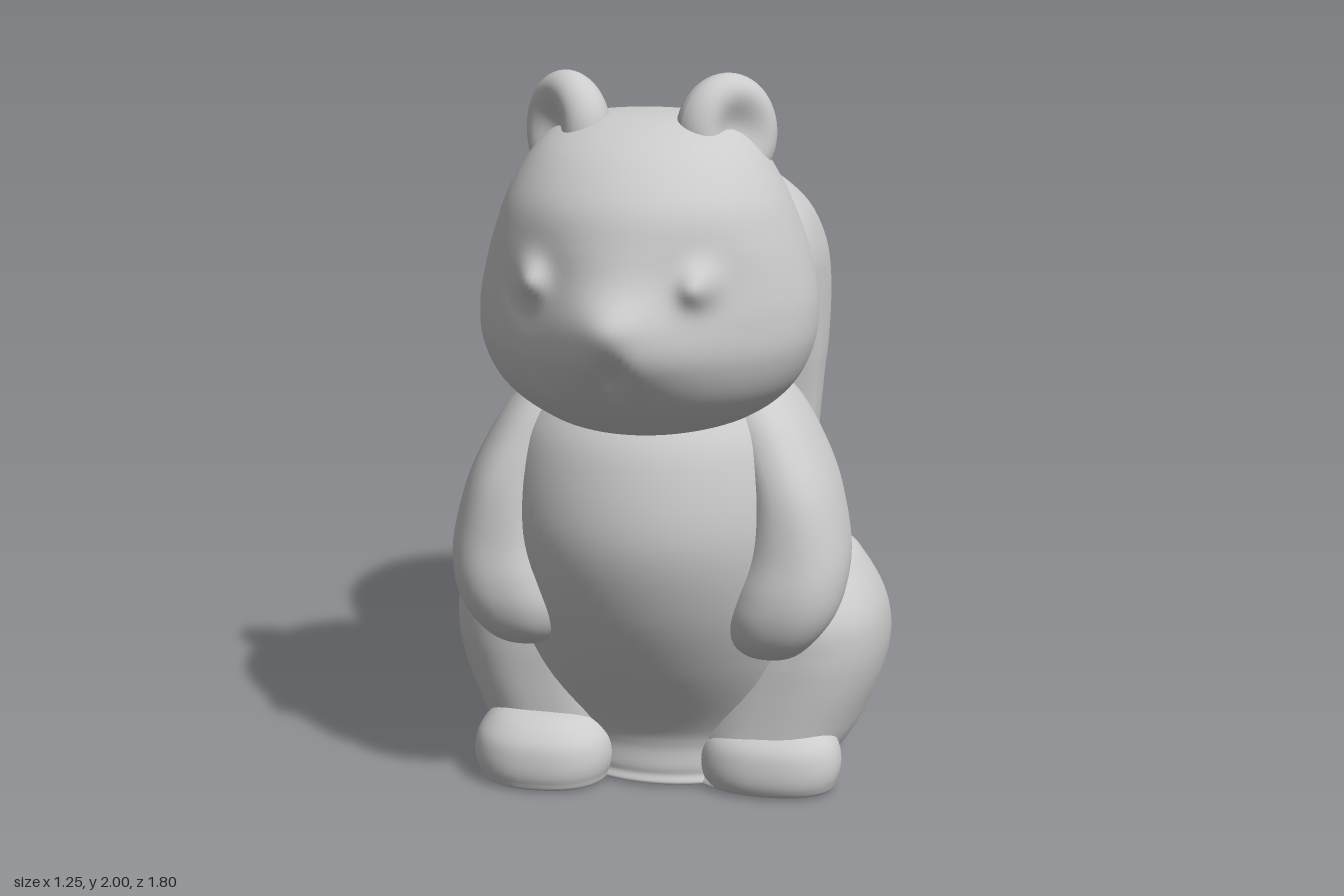
import * as THREE from 'three';

const material = new THREE.MeshStandardMaterial({ color: 0xcccccc });

function add(parent, name, geometry) {
  const mesh = new THREE.Mesh(geometry, material);
  mesh.name = name;
  parent.add(mesh);
  return mesh;
}

// Catmull-Rom interpolation of one ring column
function spline(rings, t, k) {
  const n = rings.length - 1;
  const i = Math.min(Math.floor(t), n - 1), f = t - i;
  const at = j => rings[Math.max(0, Math.min(n, j))][k];
  const [a, b, c, d] = [at(i - 1), at(i), at(i + 1), at(i + 2)];
  return b + 0.5 * f * (c - a + f * (2 * a - 5 * b + 4 * c - d + f * (3 * (b - c) + d - a)));
}

// Smooth closed skin over rings of [y, xMin, xMax, zBack, zFront];
// front and back set how square each half of the rings is (2 = ellipse)
function loft(rings, { rule, front = 2, back = 2, seg = 72, steps = 6 } = {}) {
  const pos = [], idx = [];
  const rows = (rings.length - 1) * steps;
  const yTop = rings[rings.length - 1][0];
  const p = new THREE.Vector3();
  for (let r = 0; r <= rows; r++) {
    const [y, x0, x1, z0, z1] = [0, 1, 2, 3, 4].map(k => spline(rings, r / steps, k));
    const rx = Math.max(0.0005, (x1 - x0) / 2), rz = Math.max(0.0005, (z1 - z0) / 2);
    for (let s = 0; s < seg; s++) {
      const a = (s / seg) * Math.PI * 2, c = Math.cos(a), d = Math.sin(a);
      const e = 2 / (d > 0 ? front : back);
      p.set((x0 + x1) / 2 + rx * Math.sign(c) * Math.abs(c) ** e,
        Math.min(yTop, Math.max(rings[0][0], y)),
        (z0 + z1) / 2 + rz * Math.sign(d) * Math.abs(d) ** e);
      if (rule) rule(p, a);
      pos.push(p.x, p.y, p.z);
      if (r < rows) {
        const i = r * seg + s, j = r * seg + (s + 1) % seg;
        idx.push(i, i + seg, j, j, i + seg, j + seg);
      }
    }
  }
  const g = new THREE.BufferGeometry();
  g.setAttribute('position', new THREE.Float32BufferAttribute(pos, 3));
  g.setIndex(idx);
  g.computeVertexNormals();
  return g;
}

const mirror = (rings, side) =>
  side > 0 ? rings : rings.map(([y, a, b, c, d]) => [y, -b, -a, c, d]);

const bump = (u, v, su, sv) => Math.exp(-0.5 * ((u / su) ** 2 + (v / sv) ** 2));

// Domed hollow in the underside, shared by every part standing there
function hollow(p) {
  const d = (p.x / 0.25) ** 2 + ((p.z + 0.1) / 0.25) ** 2;
  if (d < 1) p.y = Math.max(p.y, 0.22 * Math.sqrt(1 - d));
}

// Snout, mouth crease and eyes raised from the front of the skull
function face(p) {
  if (p.z < 0.45) return;
  p.z += 0.1 * bump(p.x, p.y - 1.37, 0.12, 0.1)
    - 0.03 * bump(p.x, p.y - 1.29, 0.025, 0.04)
    + 0.02 * bump(p.x, p.y - 1.425, 0.05, 0.035);
  for (const x of [-0.23, 0.2]) {
    p.z += 0.06 * bump(p.x - x, p.y - 1.51, 0.032, 0.035)
      - 0.02 * bump(p.x - x, p.y - 1.51, 0.08, 0.08);
  }
}

// Soft fur furrows and a small dimple on top of the tail
function fur(p, a) {
  const fade = Math.sin(Math.PI * Math.min(1, Math.max(0, (p.y - 0.45) / 1.15)));
  const k = 1 + 0.025 * fade * Math.sin(7 * a + 3 * p.y);
  p.x = -0.05 + (p.x + 0.05) * k;
  p.z = -0.4 + (p.z + 0.4) * (p.z < -0.7 ? 1 : k);
  if (p.y > 1.4) p.y -= 0.06 * bump(p.x + 0.03, p.z + 0.35, 0.027, 0.027);
  hollow(p);
}

// Thick round ear with a shallow hollow in its front
function earGeometry() {
  const g = new THREE.SphereGeometry(1, 40, 32);
  const p = g.attributes.position;
  for (let i = 0; i < p.count; i++) {
    const z = p.getZ(i);
    if (z > 0) p.setZ(i, z - 0.7 * z * bump(p.getX(i), p.getY(i) - 0.1, 0.4, 0.4));
  }
  g.scale(0.145, 0.155, 0.1);
  g.computeVertexNormals();
  return g;
}

export function createModel() {
  const model = new THREE.Group();
  model.name = 'squirrel';

  // Body with a round belly
  add(model, 'body', loft([
    [0, -0.01, 0.01, -0.11, -0.09], [0, -0.38, 0.38, -0.48, 0.32], [0.04, -0.41, 0.41, -0.5, 0.355],
    [0.12, -0.42, 0.42, -0.48, 0.355], [0.2, -0.43, 0.43, -0.45, 0.39], [0.4, -0.44, 0.44, -0.4, 0.53],
    [0.6, -0.45, 0.45, -0.35, 0.635], [0.8, -0.44, 0.44, -0.28, 0.685], [1.0, -0.405, 0.405, -0.17, 0.65],
    [1.12, -0.35, 0.35, -0.08, 0.58], [1.25, -0.25, 0.25, 0.02, 0.45], [1.3, 0, 0, 0.2, 0.2],
  ], { rule: hollow, steps: 9 }));

  // Head, widest at the cheeks
  const head = new THREE.Group();
  head.name = 'head';
  model.add(head);
  add(head, 'skull', loft([
    [1.06, 0, 0, 0.36, 0.36], [1.07, -0.19, 0.19, 0.16, 0.56], [1.12, -0.31, 0.31, 0.07, 0.655],
    [1.2, -0.395, 0.395, 0.02, 0.74], [1.3, -0.44, 0.44, -0.01, 0.785], [1.4, -0.447, 0.447, -0.035, 0.795],
    [1.5, -0.43, 0.43, -0.05, 0.8], [1.6, -0.4, 0.4, -0.03, 0.795], [1.7, -0.36, 0.36, 0.03, 0.76],
    [1.8, -0.3, 0.3, 0.11, 0.67], [1.86, -0.235, 0.235, 0.18, 0.57], [1.89, -0.15, 0.15, 0.26, 0.48],
    [1.9, 0, 0, 0.37, 0.37],
  ], { rule: face, seg: 180, steps: 9 }));

  for (const side of [1, -1]) {
    const label = side > 0 ? 'left' : 'right';
    const ear = add(head, label + 'Ear', earGeometry());
    ear.position.set(side * 0.21, 1.843, 0.41);
    ear.rotation.y = side * Math.PI / 4;

    // Arm hanging from the shoulder, paw resting on the belly
    add(model, label + 'Arm', loft(mirror([
      [0.43, 0.34, 0.34, 0.42, 0.42], [0.45, 0.27, 0.41, 0.36, 0.49], [0.5, 0.23, 0.465, 0.31, 0.55],
      [0.57, 0.21, 0.515, 0.25, 0.58], [0.65, 0.22, 0.54, 0.19, 0.585], [0.75, 0.24, 0.542, 0.13, 0.57],
      [0.9, 0.25, 0.505, 0.08, 0.55], [1.02, 0.22, 0.45, 0.07, 0.51], [1.12, 0.18, 0.385, 0.08, 0.46],
      [1.2, 0.15, 0.3, 0.14, 0.38], [1.23, 0.23, 0.23, 0.25, 0.25],
    ], side), { front: 2.3, back: 2.2, seg: 48 }));

    // Haunch, fuller toward the front
    add(model, label + 'Haunch', loft(mirror([
      [0, 0.25, 0.25, -0.05, -0.05], [0, 0.04, 0.45, -0.47, 0.33], [0.04, 0.03, 0.49, -0.5, 0.36],
      [0.12, 0.03, 0.545, -0.49, 0.37], [0.2, 0.04, 0.58, -0.46, 0.37], [0.3, 0.06, 0.613, -0.42, 0.37],
      [0.4, 0.08, 0.625, -0.36, 0.37], [0.5, 0.1, 0.61, -0.29, 0.36], [0.6, 0.14, 0.56, -0.2, 0.3],
      [0.66, 0.18, 0.5, -0.13, 0.23], [0.7, 0.33, 0.33, 0.05, 0.05],
    ], side), { rule: hollow, front: 2.5, back: 1.75 }));

    // Foot, the right one a little further forward
    const toe = side > 0 ? 0.41 : 0.48;
    add(model, label + 'Foot', loft(mirror([
      [0, 0.33, 0.33, 0.25, 0.25], [0, 0.16, 0.48, 0.16, toe - 0.04], [0.03, 0.13, 0.51, 0.14, toe - 0.005],
      [0.09, 0.12, 0.52, 0.13, toe], [0.15, 0.14, 0.5, 0.14, toe - 0.02], [0.2, 0.2, 0.44, 0.17, toe - 0.09],
      [0.215, 0.33, 0.33, 0.25, 0.25],
    ], side), { front: 2.3, seg: 40 }));
  }

  // Upright bushy tail, broad at the back and narrowing toward the body
  add(model, 'tail', loft([
    [0, -0.02, -0.02, -0.35, -0.35], [0, -0.29, 0.23, -0.6, -0.12], [0.04, -0.33, 0.26, -0.655, -0.1],
    [0.2, -0.36, 0.29, -0.75, -0.1], [0.4, -0.39, 0.31, -0.79, -0.08], [0.6, -0.41, 0.33, -0.785, -0.05],
    [0.8, -0.44, 0.34, -0.775, 0], [1.0, -0.47, 0.355, -0.81, 0.06], [1.1, -0.475, 0.365, -0.845, 0.09],
    [1.2, -0.465, 0.37, -0.875, 0.1], [1.3, -0.445, 0.37, -0.89, 0.1], [1.4, -0.425, 0.36, -0.87, 0.08],
    [1.5, -0.385, 0.325, -0.805, 0.03], [1.57, -0.34, 0.27, -0.73, -0.05], [1.63, -0.26, 0.19, -0.62, -0.2],
    [1.66, -0.17, 0.1, -0.54, -0.32], [1.672, -0.04, -0.04, -0.43, -0.43],
  ], { rule: fur, front: 1.75, back: 2.5, seg: 96, steps: 8 }));

  return model;
}
